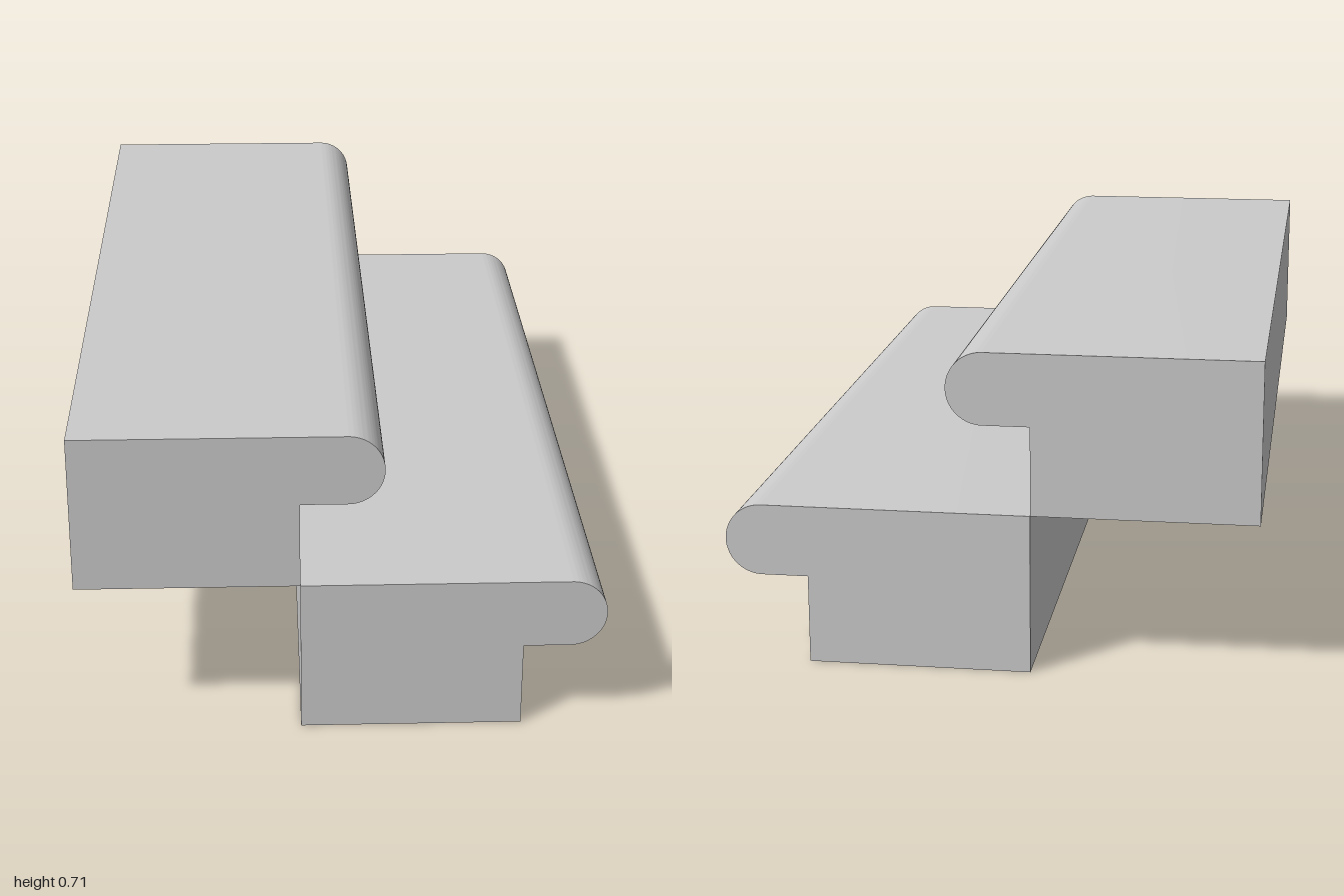
import * as THREE from 'three';
import { toCreasedNormals } from 'three/addons/utils/BufferGeometryUtils.js';

const LENGTH = 2;      // along z
const RISE = 0.354;    // height of one step
const RUN = 0.487;     // depth of one step body
const NOSE_R = 0.079;  // radius of the rounded nosing
const NOSE_X = 0.588;  // nosing centre, measured from the step's back

// Profile of one step: solid body with an overhanging half-round nosing
function stepGeometry() {
  const shape = new THREE.Shape();
  shape.moveTo(0, 0);
  shape.lineTo(RUN, 0);
  shape.lineTo(RUN, RISE - 2 * NOSE_R);
  shape.lineTo(NOSE_X, RISE - 2 * NOSE_R);
  shape.absarc(NOSE_X, RISE - NOSE_R, NOSE_R, -Math.PI / 2, Math.PI / 2, false);
  shape.lineTo(0, RISE);
  shape.closePath();
  const geometry = new THREE.ExtrudeGeometry(shape, { depth: LENGTH, bevelEnabled: false, curveSegments: 32 });
  geometry.translate(0, 0, -LENGTH / 2);
  return toCreasedNormals(geometry, 0.5);
}

export function createModel() {
  const group = new THREE.Group();
  group.name = 'stairs';
  const material = new THREE.MeshStandardMaterial({ color: 0xcccccc });
  const geometry = stepGeometry();
  const backX = -(NOSE_X + NOSE_R - RUN) / 2;

  // Each step sits one rise higher and one run further back
  ['lowerStep', 'upperStep'].forEach((name, i) => {
    const step = new THREE.Mesh(geometry, material);
    step.name = name;
    step.position.set(backX - i * RUN, i * RISE, 0);
    group.add(step);
  });
  return group;
}
